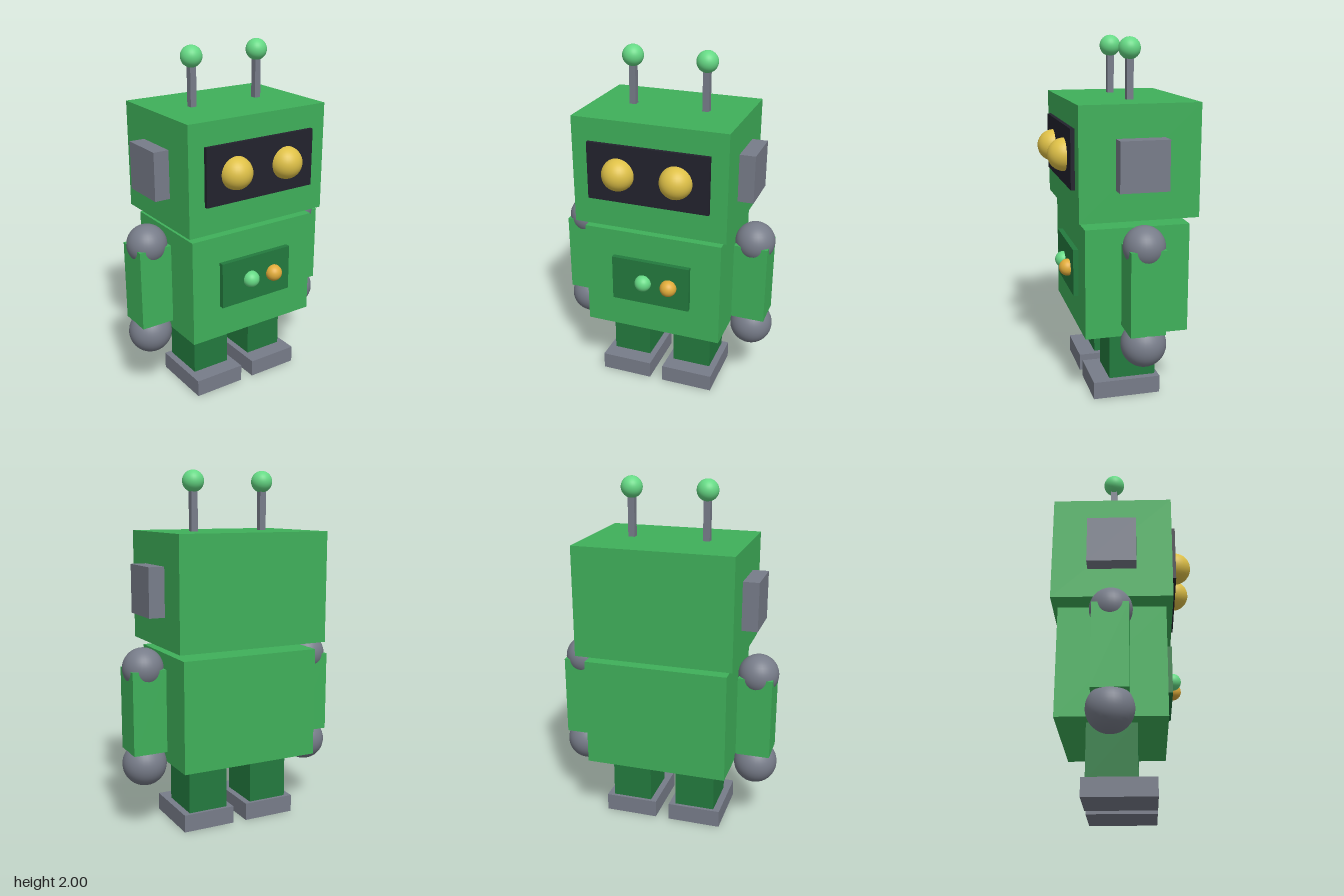
import * as THREE from 'three';

const paint = (name, color) => {
  const m = new THREE.MeshStandardMaterial({ color });
  m.name = name;
  return m;
};

export function createModel() {
  const green = paint('green', 0x3fb05a);
  const darkGreen = paint('dark green', 0x237a3e);
  const grey = paint('grey', 0x777c89);
  const black = paint('visor black', 0x22222d);
  const yellow = paint('eye yellow', 0xdec047);
  const amber = paint('amber', 0xe0ab3a);
  const mint = paint('mint', 0x66d985);

  const robot = new THREE.Group();
  robot.name = 'robot';
  const Z = -0.056; // depth of the body's middle plane

  const add = (name, geometry, material, x, y, z) => {
    const mesh = new THREE.Mesh(geometry, material);
    mesh.name = name;
    mesh.position.set(x, y, z);
    robot.add(mesh);
  };
  const box = (name, mat, w, h, d, x, y, z = Z) =>
    add(name, new THREE.BoxGeometry(w, h, d), mat, x, y, z);
  const ball = (name, mat, r, x, y, z = Z) =>
    add(name, new THREE.SphereGeometry(r, 32, 20), mat, x, y, z);

  // Head and visor
  box('head', green, 0.886, 0.616, 0.66, 0, 1.362);
  box('visor', black, 0.695, 0.325, 0.04, 0, 1.378, 0.276);

  // Torso with chest panel and lights
  box('torso', green, 0.81, 0.617, 0.583, 0, 0.7015);
  box('chestPanel', darkGreen, 0.462, 0.268, 0.04, 0, 0.719, 0.245);
  ball('mintLight', mint, 0.048, -0.041, 0.719, 0.27);
  ball('amberLight', amber, 0.048, 0.114, 0.719, 0.276);

  // Mirrored parts
  for (const [side, s] of [['left', 1], ['right', -1]]) {
    ball(side + 'Eye', yellow, 0.091, s * 0.165, 1.378, 0.296);
    box(side + 'Ear', grey, 0.1, 0.27, 0.267, s * 0.482, 1.359);
    box(side + 'Antenna', grey, 0.037, 0.25, 0.037, s * 0.213, 1.785);
    ball(side + 'AntennaTip', mint, 0.06, s * 0.213, 1.94);

    ball(side + 'Shoulder', grey, 0.114, s * 0.523, 0.934);
    box(side + 'Arm', green, 0.193, 0.465, 0.193, s * 0.521, 0.7005);
    ball(side + 'Hand', grey, 0.124, s * 0.523, 0.391);

    box(side + 'Leg', darkGreen, 0.232, 0.32, 0.267, s * 0.193, 0.25);
    box(side + 'Foot', grey, 0.307, 0.1, 0.386, s * 0.194, 0.05, -0.016);
  }

  return robot;
}
